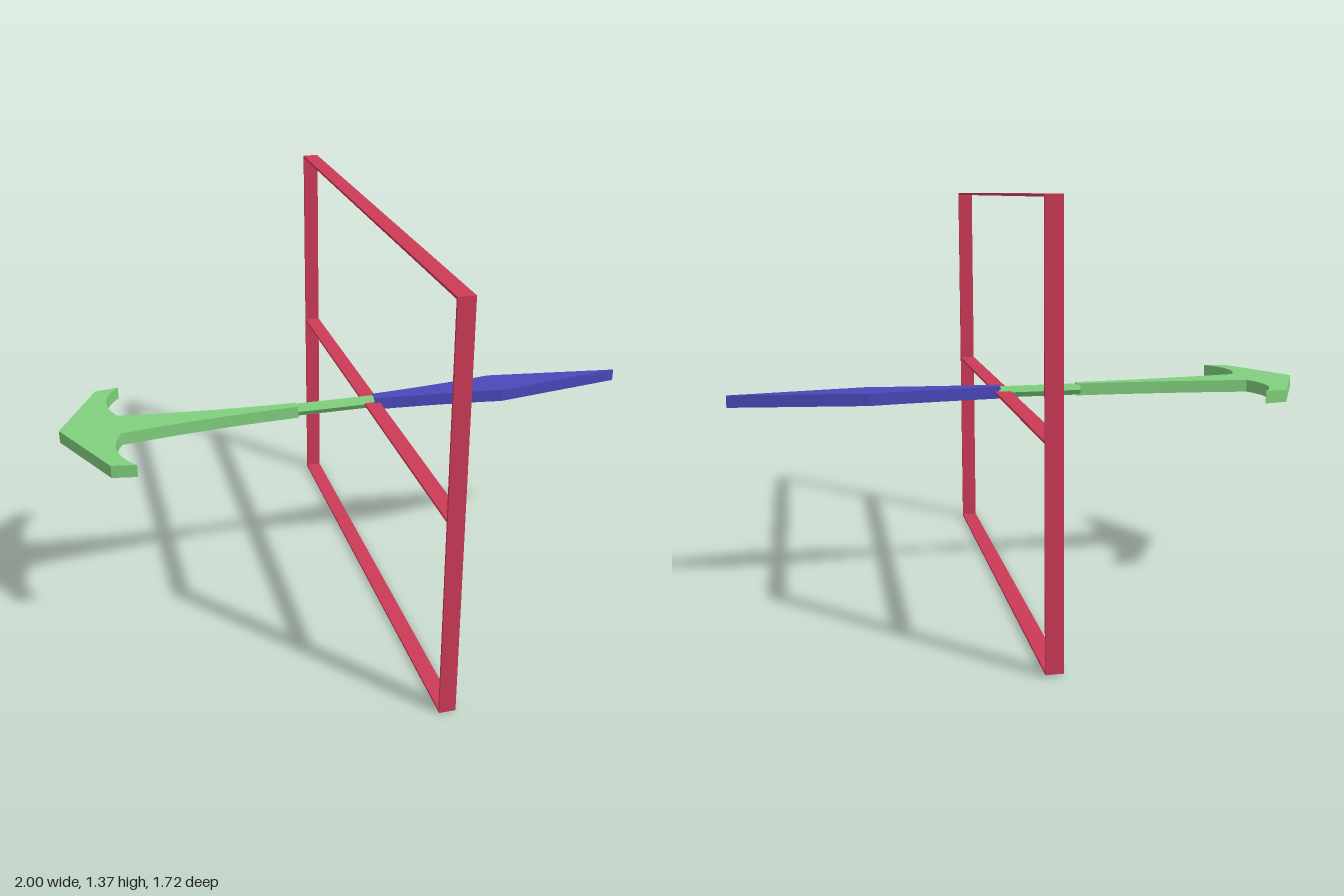
import * as THREE from 'three';

const THICK = 0.042;

// Flat plate in the xz plane, mirrored about z = 0 from one half outline
function plate(half, material, name) {
  const mirrored = half.slice().reverse().map((p) => new THREE.Vector2(p.x, -p.y))
    .filter((p) => Math.abs(p.y) > 1e-6);
  const shape = new THREE.Shape([...half, ...mirrored]);
  const geometry = new THREE.ExtrudeGeometry(shape, { depth: THICK, bevelEnabled: false });
  geometry.translate(0, 0, -THICK / 2);
  geometry.rotateX(Math.PI / 2);
  const mesh = new THREE.Mesh(geometry, material);
  mesh.name = name;
  return mesh;
}

const v = (x, y) => new THREE.Vector2(x, y);
const curve = (a, b, c, n) => new THREE.QuadraticBezierCurve(a, b, c).getPoints(n);

export function createModel() {
  const red = new THREE.MeshStandardMaterial({ color: 0xcc3a56, flatShading: true });
  const green = new THREE.MeshStandardMaterial({ color: 0x80d07e });
  const blue = new THREE.MeshStandardMaterial({ color: 0x4a48ba });
  red.name = 'frame red';
  green.name = 'tail green';
  blue.name = 'blade blue';
  red.flatShading = false;

  const model = new THREE.Group();
  model.name = 'framedArrow';
  const body = new THREE.Group();
  body.name = 'body';
  body.position.y = 0.684;
  body.rotation.set(0.003, -0.0045, -0.005); // slight overall lean
  model.add(body);

  // Rectangular frame of thin flat strips with a middle rail
  const frame = new THREE.Group();
  frame.name = 'frame';
  frame.position.x = 0.066;
  body.add(frame);
  const strip = (name, h, d, y, z) => {
    const mesh = new THREE.Mesh(new THREE.BoxGeometry(0.054, h, d), red);
    mesh.name = name;
    mesh.position.set(0, y, z);
    frame.add(mesh);
  };
  strip('topRail', 0.008, 1.716, 0.677, 0);
  strip('middleRail', 0.008, 1.7, 0, 0);
  strip('bottomRail', 0.008, 1.716, -0.677, 0);
  strip('frontPost', 1.346, 0.008, 0, 0.854);
  strip('backPost', 1.346, 0.008, 0, -0.854);

  // Anchor-shaped tail that tapers into the shaft
  body.add(plate([
    v(-1, 0), v(-0.86, 0.293),
    ...curve(v(-0.78, 0.308), v(-0.868, 0.2), v(-0.805, 0.071), 12),
    ...curve(v(-0.8, 0.07), v(-0.5, 0.025), v(-0.2, 0.017), 10),
  ], green, 'anchorTail'));

  // Six-sided shaft
  const shaftGeometry = new THREE.CylinderGeometry(0.021, 0.021, 0.29, 6).toNonIndexed();
  shaftGeometry.computeVertexNormals();
  shaftGeometry.rotateZ(Math.PI / 2);
  const shaft = new THREE.Mesh(shaftGeometry, green);
  shaft.name = 'shaft';
  shaft.position.set(-0.065, 0, -0.005);
  body.add(shaft);

  // Spear blade
  body.add(plate([
    ...curve(v(0.075, 0.021), v(0.33, 0.038), v(0.53, 0.069), 8),
    v(1, 0),
  ], blue, 'spearBlade'));

  return model;
}
